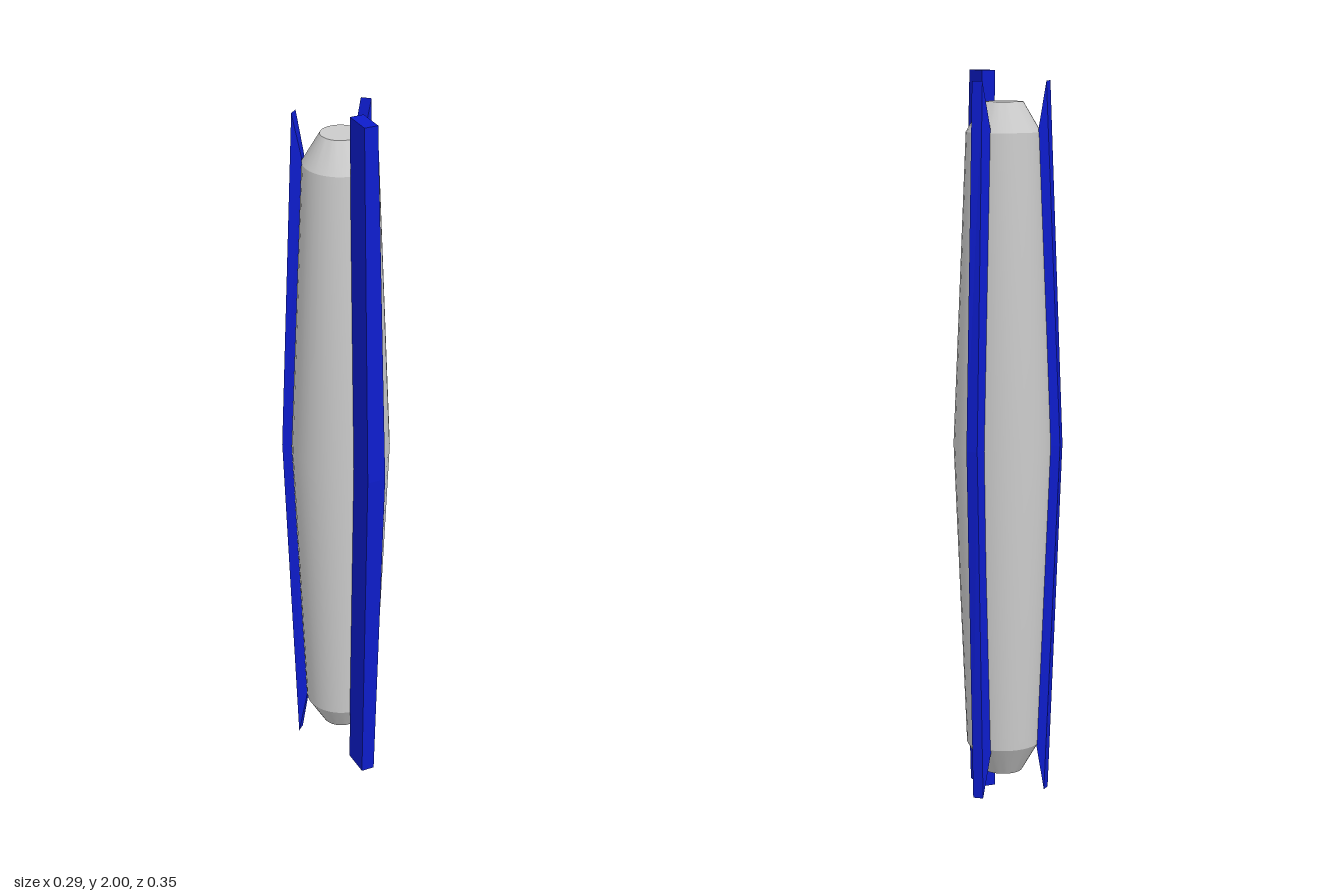
import * as THREE from 'three';
import { toCreasedNormals } from 'three/addons/utils/BufferGeometryUtils.js';

const grey = new THREE.MeshStandardMaterial({ color: 0xcccccc });
const blue = new THREE.MeshStandardMaterial({ color: 0x0d1ccc, flatShading: true });

// Four-sided bar lofted through a lower end, the waist and an upper end.
// Corners are [x, y, z], counter-clockwise seen from above.
function finGeometry(waist, end) {
  const lower = end.map(([x, y, z]) => [x, 2 - y, z]);
  const rings = [lower, waist, end];
  const index = [0, 2, 1, 0, 3, 2, 8, 9, 10, 8, 10, 11];
  for (let r = 0; r < 2; r++) {
    for (let i = 0; i < 4; i++) {
      const a = r * 4 + i, b = r * 4 + (i + 1) % 4;
      index.push(a, b, b + 4, a, b + 4, a + 4);
    }
  }
  const geo = new THREE.BufferGeometry();
  geo.setAttribute('position', new THREE.Float32BufferAttribute(rings.flat(2), 3));
  geo.setIndex(index);
  const flat = geo.toNonIndexed();
  flat.computeVertexNormals();
  return flat;
}

const mirror = (ring) => ring.map(([x, y, z]) => [-x, y, z]).reverse();

export function createModel() {
  const group = new THREE.Group();
  const add = (name, geometry, material) => {
    const mesh = new THREE.Mesh(geometry, material);
    mesh.name = name;
    group.add(mesh);
    return mesh;
  };

  // Barrel-shaped body with chamfered, flat ends
  const profile = [
    [0, 0.08], [0.053, 0.08], [0.1, 0.16], [0.135, 1],
    [0.1, 1.84], [0.053, 1.92], [0, 1.92],
  ].map(([r, y]) => new THREE.Vector2(r, y));
  const body = toCreasedNormals(new THREE.LatheGeometry(profile, 32), 0.4);
  add('body', body, grey).position.z = -0.042;

  // Large front fin with square ends
  const rect = (w, y, outer, inner) =>
    [[w, y, outer], [w, y, inner], [-w, y, inner], [-w, y, outer]];
  add('frontFin', finGeometry(rect(0.026, 1, 0.175, 0.08), rect(0.019, 2, 0.133, 0.052)), blue);

  // Pair of slim rear fins whose ends run to a sloping point
  const waist = [[0.143, 1, -0.116], [0.123, 1, -0.141], [0.088, 1, -0.13], [0.106, 1, -0.1]];
  const end = [[0.114, 1.975, -0.092], [0.093, 1.975, -0.111], [0.07, 1.85, -0.112], [0.087, 1.85, -0.091]];
  add('rearFinLeft', finGeometry(waist, end), blue);
  add('rearFinRight', finGeometry(mirror(waist), mirror(end)), blue);

  return group;
}
